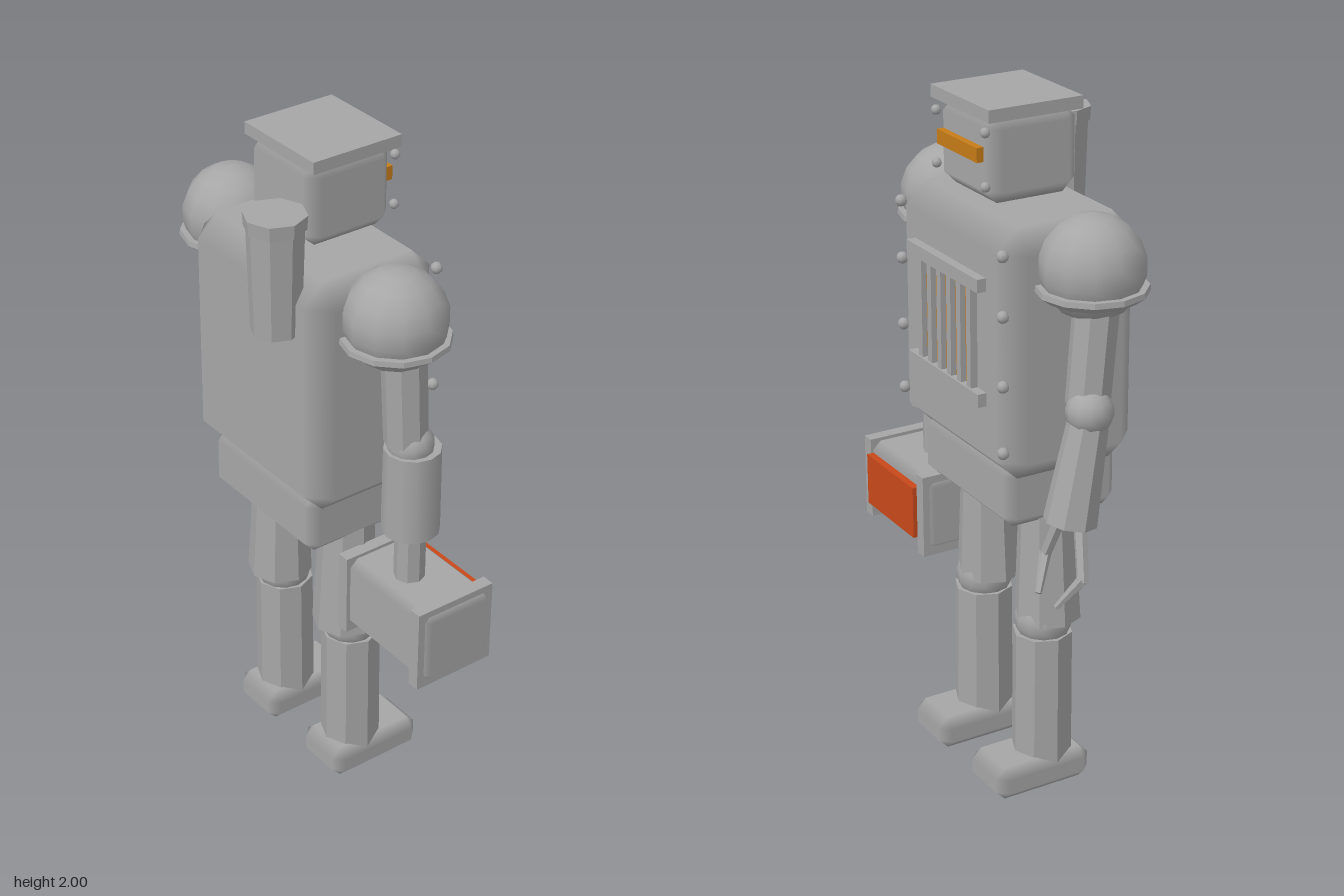
import * as THREE from 'three';

const V = (x, y, z) => new THREE.Vector3(x, y, z);
const mat = (name, color) => {
  const m = new THREE.MeshStandardMaterial({ color });
  m.name = name;
  return m;
};

// Box with one-step chamfers; flat faces keep their axis normals, so the chamfers shade softly
function chamferBox(w, h, d, c) {
  const g = new THREE.BoxGeometry(w, h, d);
  const p = g.attributes.position, n = g.attributes.normal;
  const ids = {}, index = [...g.index.array];
  const pts = [];
  for (let i = 0; i < p.count; i++) {
    const q = [p.getX(i), p.getY(i), p.getZ(i)];
    const axis = [n.getX(i), n.getY(i), n.getZ(i)].findIndex(v => Math.abs(v) > 0.5);
    ids[q.map(Math.sign).join() + '|' + axis] = i;
    const r = q.map((v, k) => (k === axis ? v : v - Math.sign(v) * c));
    p.setXYZ(i, ...r);
    pts.push(V(...r));
  }
  const id = (s, axis) => ids[s.join() + '|' + axis];
  const tri = (a, b, e) => {
    const nor = pts[b].clone().sub(pts[a]).cross(pts[e].clone().sub(pts[a]));
    const mid = pts[a].clone().add(pts[b]).add(pts[e]);
    if (nor.dot(mid) > 0) index.push(a, b, e); else index.push(a, e, b);
  };
  for (const a of [-1, 1]) for (const b of [-1, 1]) {
    for (const e of [-1, 1]) tri(id([a, b, e], 0), id([a, b, e], 1), id([a, b, e], 2));
    for (let k = 0; k < 3; k++) {
      const i = (k + 1) % 3, j = (k + 2) % 3;
      const lo = [0, 0, 0], hi = [0, 0, 0];
      lo[i] = hi[i] = a; lo[j] = hi[j] = b; lo[k] = -1; hi[k] = 1;
      tri(id(lo, i), id(lo, j), id(hi, j));
      tri(id(lo, i), id(hi, j), id(hi, i));
    }
  }
  g.setIndex(index);
  g.clearGroups();
  return g;
}

export function createModel() {
  const root = new THREE.Group();
  root.name = 'boilerRobot';
  const steel = mat('steel', 0xa6a6a6);
  const steelFaceted = steel; // facets come from split normals below
  const amber = mat('amberGlow', 0xc67c18);
  const red = mat('redPanel', 0xc8481a);

  const add = (name, geo, m, x = 0, y = 0, z = 0) => {
    const mesh = new THREE.Mesh(geo, m);
    mesh.name = name;
    mesh.position.set(x, y, z);
    root.add(mesh);
    return mesh;
  };
  // Boxes given by their limits
  const block = (name, [x0, x1], [y0, y1], [z0, z1], c = 0, m = steel) =>
    add(name, c ? chamferBox(x1 - x0, y1 - y0, z1 - z0, c) : new THREE.BoxGeometry(x1 - x0, y1 - y0, z1 - z0),
      m, (x0 + x1) / 2, (y0 + y1) / 2, (z0 + z1) / 2);
  const ball = (name, r, x, y, z, seg = 12) => add(name, new THREE.SphereGeometry(r, seg, Math.ceil(seg * 0.7)), steel, x, y, z);
  // Faceted or smooth rod running from a to b
  const rod = (name, a, b, ra, rb, sides = 8, faceted = true) => {
    let g = new THREE.CylinderGeometry(rb, ra, a.distanceTo(b), sides);
    if (faceted) { g = g.toNonIndexed(); g.computeVertexNormals(); }
    const mesh = add(name, g, faceted ? steelFaceted : steel);
    mesh.position.copy(a).lerp(b, 0.5);
    mesh.quaternion.setFromUnitVectors(V(0, 1, 0), b.clone().sub(a).normalize());
    return mesh;
  };

  const cx = -0.04; // body centre line

  // Torso, pelvis, head
  block('torso', [-0.345, 0.264], [1.0, 1.71], [-0.25, 0.167], 0.064);
  block('pelvis', [-0.283, 0.2], [0.845, 1.03], [-0.214, 0.138], 0.032);
  block('head', [-0.187, 0.102], [1.735, 1.975], [-0.205, 0.068], 0.036);
  block('headPlate', [-0.193, 0.112], [1.965, 2.0], [-0.217, 0.068]);
  block('eyeSlit', [-0.145, 0.065], [1.85, 1.89], [-0.225, -0.2], 0, amber);

  // Rivets on head and torso
  for (const s of [-1, 1]) {
    for (const y of [1.935, 1.79]) ball('headRivet', 0.014, cx + s * 0.129, y, -0.214, 8);
    for (const y of [1.65, 1.485, 1.29, 1.1]) ball('torsoRivet', 0.017, cx + s * 0.273, y, -0.248, 8);
  }

  // Furnace grate
  block('furnaceGlow', [-0.17, 0.09], [1.245, 1.53], [-0.255, -0.248], 0, amber);
  block('grateRailTop', [-0.231, 0.151], [1.53, 1.567], [-0.277, -0.245]);
  block('grateRailBottom', [-0.231, 0.151], [1.207, 1.245], [-0.277, -0.245]);
  for (let i = 0; i < 6; i++) {
    const x = cx + (i - 2.5) * 0.053;
    block('grateBar', [x - 0.011, x + 0.011], [1.235, 1.54], [-0.271, -0.248]);
  }

  // Chimney
  rod('chimney', V(0.105, 1.55, 0.184), V(0.105, 1.86, 0.184), 0.069, 0.078);
  rod('chimneyCap', V(0.105, 1.85, 0.184), V(0.105, 1.89, 0.184), 0.083, 0.086);

  for (const s of [-1, 1]) {
    const at = (dx, y, z) => V(cx + s * dx, y, z);
    // Shoulders and upper arms
    ball('shoulder', 0.143, cx + s * 0.37, 1.615, -0.037);
    rod('shoulderRim', at(0.37, 1.532, -0.037), at(0.37, 1.552, -0.037), 0.125, 0.152, 12);
    rod('shoulderRimTop', at(0.37, 1.552, -0.037), at(0.37, 1.567, -0.037), 0.152, 0.15, 12);
    const elbowZ = s < 0 ? -0.08 : -0.062;
    rod('upperArm', at(0.405, 1.25, elbowZ + 0.01), at(0.4, 1.56, -0.04), 0.061, 0.063);
    ball('elbow', 0.065, cx + s * (s < 0 ? 0.432 : 0.414), 1.242, elbowZ);

    // Legs
    const x = 0.165;
    rod('thigh', at(x - 0.003, 0.515, -0.04), at(x - 0.005, 0.95, -0.045), 0.096, 0.075);
    ball('knee', 0.083, cx + s * x, 0.51, -0.055);
    rod('shin', at(x, 0.07, -0.06), at(x, 0.475, -0.058), 0.088, 0.086);
    const fx = cx + s * x;
    block('foot', [fx - 0.095, fx + 0.095], [0, 0.102], [-0.252, 0.055], 0.03);
  }

  // Claw arm
  rod('clawForearm', V(-0.465, 0.935, -0.133), V(-0.472, 1.21, -0.085), 0.074, 0.056);
  for (const s of [-1, 1]) {
    const f = (dx, y, z) => V(-0.462 + s * dx, y, z);
    rod('clawFingerBase', f(0.04, 0.95, -0.125), f(0.095, 0.8, -0.15), 0.019, 0.017, 6);
    rod('clawFingerTip', f(0.095, 0.81, -0.148), f(0.046, 0.718, -0.2), 0.017, 0.009, 6);
  }

  // Hammer arm
  rod('hammerForearm', V(0.375, 0.967, -0.068), V(0.375, 1.23, -0.068), 0.082, 0.08, 12, false);
  rod('hammerPiston', V(0.377, 0.78, -0.067), V(0.377, 0.98, -0.067), 0.044, 0.044);
  block('hammerHead', [0.185, 0.57], [0.582, 0.81], [-0.208, 0.028], 0.024);
  for (const [a, b] of [[0.196, 0.234], [0.518, 0.556]]) block('hammerPlate', [a, b], [0.568, 0.82], [-0.217, 0.04]);
  block('hammerPanel', [0.234, 0.518], [0.617, 0.776], [-0.23, -0.2], 0, red);

  return root;
}
